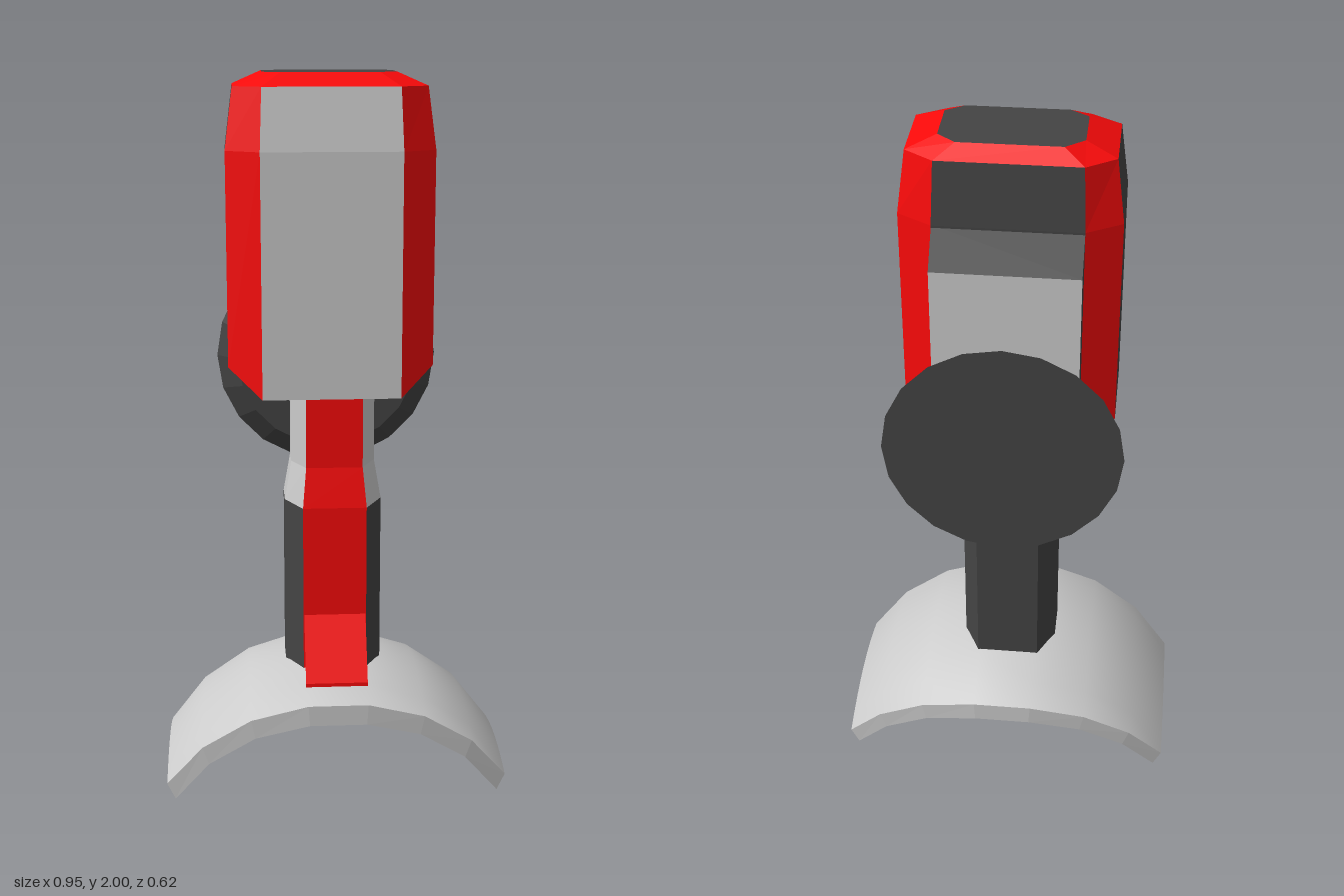
import * as THREE from 'three';

const GREY = 0xcccccc, DARK = 0x444444, RED = 0xfa0a0a;
const V = (x, y, z) => new THREE.Vector3(x, y, z);

function material(color, extra = {}) {
  return new THREE.MeshStandardMaterial({ color, ...extra });
}

// Flat faceted mesh from convex polygons, corners counter-clockwise from outside
function panels(name, color, polys) {
  const pts = [];
  for (const p of polys)
    for (let i = 1; i < p.length - 1; i++) pts.push(p[0], p[i], p[i + 1]);
  const geo = new THREE.BufferGeometry().setFromPoints(pts);
  geo.computeVertexNormals();
  const mesh = new THREE.Mesh(geo, material(color, { flatShading: true }));
  mesh.name = name;
  return mesh;
}

// Chamfered rectangle ring: half width w, half width a of the front/back edge,
// z of front edge, front corner, back corner and back edge
function ring(y, w, a, [f, fc, bc, b], cx = 0) {
  return [[-a, f], [a, f], [w, fc], [w, bc], [a, b], [-a, b], [-w, bc], [-w, fc]]
    .map(([x, z]) => V(x + cx, y, z));
}

// Side facets between two rings (0 front, 2 left, 4 back, 6 right, odd = chamfers)
function facets(lower, upper, ids) {
  return ids.map(i => {
    const j = (i + 1) % 8;
    return [lower[i], lower[j], upper[j], upper[i]];
  });
}

// Box-like head with red chamfers
function createHead() {
  const g = new THREE.Group();
  g.name = 'head';
  const cx = -0.008, zs = [0.147, 0.09, -0.135, -0.19];
  const low = ring(1.14, 0.279, 0.188, zs, cx);
  for (const i of [2, 3, 6, 7]) low[i].y = 1.22;
  const mid = ring(1.8, 0.279, 0.188, zs, cx);
  const high = ring(1.965, 0.258, 0.182, [0.124, 0.075, -0.12, -0.174], cx);
  const cap = ring(2, 0.179, 0.131, [0.067, 0.033, -0.1, -0.141], cx);
  const walls = ids => [...facets(low, mid, ids), ...facets(mid, high, ids)];
  g.add(
    panels('frontPlate', GREY, walls([0])),
    panels('sideAndBackPlates', DARK, walls([2, 4, 6])),
    panels('cornerTrim', RED, walls([1, 3, 5, 7])),
    panels('topTrim', RED, facets(high, cap, [0, 1, 2, 3, 4, 5, 6, 7])),
    panels('topPlate', DARK, [cap]),
    panels('lowerSideBevels', RED, [
      [low[1], low[4], low[3], low[2]],
      [low[5], low[0], low[7], low[6]],
    ]),
    panels('underside', DARK, [[low[0], low[5], low[4], low[1]]]),
  );
  return g;
}

// Pack on the back with a sloped top, carrying the round pad
function createBackPack() {
  const g = new THREE.Group();
  g.name = 'backPack';
  const side = x => [V(x, 1.06, -0.185), V(x, 1.06, -0.26), V(x, 1.71, -0.26), V(x, 1.8, -0.185)];
  const r = side(-0.196), l = side(0.18);
  g.add(
    panels('packShell', DARK, [
      l, [...r].reverse(),
      [l[3], l[2], r[2], r[3]],
      [l[1], l[0], r[0], r[1]],
      [l[0], l[3], r[3], r[0]],
    ]),
    panels('packBackPlate', GREY, [[l[2], l[1], r[1], r[2]]]),
  );
  const pad = new THREE.Mesh(
    new THREE.CylinderGeometry(0.26, 0.32, 0.063, 20),
    material(DARK, { flatShading: true }));
  pad.name = 'roundPad';
  pad.rotation.x = Math.PI / 2;
  // Turned by a quarter facet pair so that corners sit on the axes
  pad.position.set(0, 1.18, -0.2365);
  g.add(pad);
  return g;
}

// Chamfered grip, narrowing to a neck, with a red stripe and a flared toe
function createHandle() {
  const g = new THREE.Group();
  g.name = 'handle';
  const wide = [0.14, 0.045, -0.05, -0.14], slim = [0.118, 0.037, -0.045, -0.123];
  const r0 = ring(0.32, 0.135, 0.088, wide);
  const r1 = ring(0.83, 0.135, 0.088, wide);
  const r2 = ring(0.94, 0.116, 0.078, slim);
  const r3 = ring(1.16, 0.116, 0.078, slim);
  const neck = ids => [...facets(r1, r2, ids), ...facets(r2, r3, ids)];
  g.add(
    panels('grip', DARK, [...facets(r0, r1, [1, 2, 3, 4, 5, 6, 7]), [...r0].reverse()]),
    panels('neck', GREY, neck([1, 2, 3, 5, 6, 7])),
    panels('stripe', RED, [...facets(r0, r1, [0]), ...neck([0, 4])]),
  );
  const toe = x => [V(x, 0.52, 0.139), V(x, 0.35, 0.232), V(x, 0.325, 0.232), V(x, 0.325, 0.139)];
  const a = toe(-0.086), b = toe(0.086);
  g.add(
    panels('toeFront', RED, [[a[0], a[1], b[1], b[0]], [a[1], a[2], b[2], b[1]]]),
    panels('toeSides', DARK, [a, [...b].reverse()].map(p => [...p])),
  );
  return g;
}

// Curved saddle: an arch across x that also falls away towards front and back
function createSaddle() {
  const g = new THREE.Group();
  g.name = 'saddle';
  const NX = 7, NZ = 8;
  const front = [0.24, 0.27, 0.291, 0.305], back = [-0.225, -0.262, -0.29, -0.31];
  const point = (i, j, inner) => {
    const t = (i / NX * 2 - 1) * 1.065, k = Math.min(i, NX - i);
    const z = THREE.MathUtils.lerp(back[k], front[k], j / NZ);
    const x = 0.545 * Math.sin(t);
    const y = -0.169 + 0.545 * Math.cos(t) - 0.73 * (z - 0.03) ** 2;
    return inner ? V(x * 0.953, y - 0.06 + 0.015 * Math.abs(Math.sin(t)), z) : V(x, y, z);
  };
  // Smooth sheets
  const sheet = (name, color, inner) => {
    const pts = [], index = [];
    for (let i = 0; i <= NX; i++)
      for (let j = 0; j <= NZ; j++) pts.push(point(i, j, inner));
    for (let i = 0; i < NX; i++)
      for (let j = 0; j < NZ; j++) {
        const a = i * (NZ + 1) + j, b = a + 1, d = a + NZ + 1, c = d + 1;
        index.push(...(inner ? [a, c, b, a, d, c] : [a, b, c, a, c, d]));
      }
    const geo = new THREE.BufferGeometry().setFromPoints(pts);
    geo.setIndex(index);
    geo.computeVertexNormals();
    const mesh = new THREE.Mesh(geo, material(color));
    mesh.name = name;
    return mesh;
  };
  // Rims
  const rims = [], ends = [];
  const strip = (p, q) => [point(...p, true), point(...q, true), point(...q), point(...p)];
  for (let i = 0; i < NX; i++)
    rims.push(strip([i, NZ], [i + 1, NZ]), strip([i + 1, 0], [i, 0]));
  for (let j = 0; j < NZ; j++)
    ends.push(strip([NX, j + 1], [NX, j]), strip([0, j], [0, j + 1]));
  g.add(
    sheet('saddleTop', GREY, false),
    sheet('saddleUnderside', DARK, true),
    panels('saddleRims', GREY, rims),
    panels('saddleEnds', RED, ends),
  );
  return g;
}

export function createModel() {
  const model = new THREE.Group();
  model.name = 'model';
  model.add(createHead(), createBackPack(), createHandle(), createSaddle());
  return model;
}
